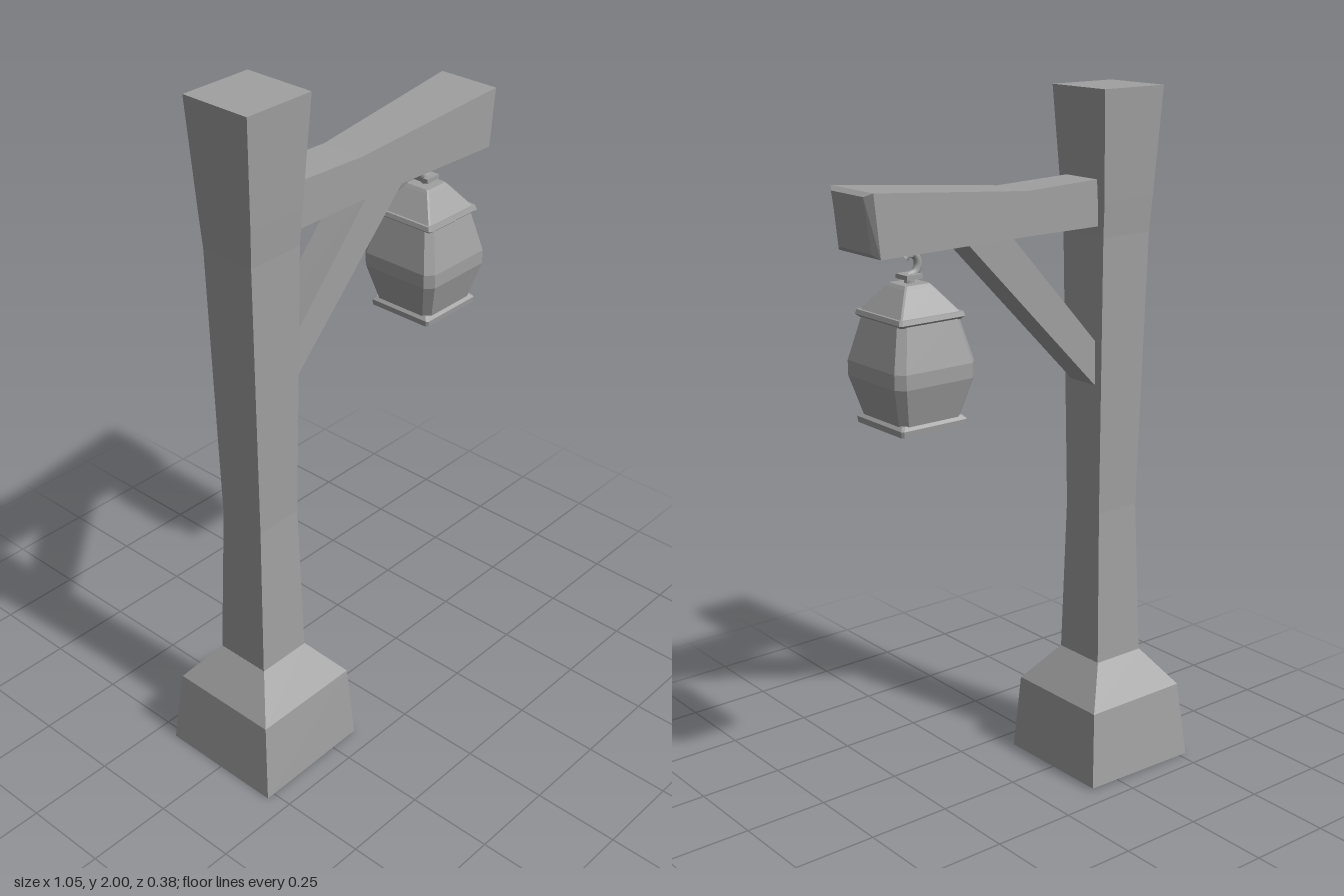
import * as THREE from 'three';

const grey = new THREE.MeshStandardMaterial({ color: 0xa0a0a0 });
grey.name = 'grey';

// Skin a stack of matching point loops and cap both ends (faceted).
function loft(loops) {
  const pos = [];
  const tri = (...pts) => pts.forEach((p) => pos.push(...p));
  const n = loops[0].length;
  for (let k = 0; k < loops.length - 1; k++) {
    const lo = loops[k], up = loops[k + 1];
    for (let i = 0; i < n; i++) {
      const j = (i + 1) % n;
      tri(lo[i], lo[j], up[j]);
      tri(lo[i], up[j], up[i]);
    }
  }
  const first = loops[0], last = loops[loops.length - 1];
  for (let i = 1; i < n - 1; i++) {
    tri(first[0], first[i + 1], first[i]);
    tri(last[0], last[i], last[i + 1]);
  }
  const g = new THREE.BufferGeometry();
  g.setAttribute('position', new THREE.Float32BufferAttribute(pos, 3));
  g.computeVertexNormals();
  return g;
}

// Horizontal rectangle at height y
const rect = (y, x0, x1, z) => [[x1, y, z], [x1, y, -z], [x0, y, -z], [x0, y, z]];

// Horizontal square of half width h with corners cut by c
const cutSquare = (y, h, c) => [
  [h, y, h - c], [h, y, c - h], [h - c, y, -h], [c - h, y, -h],
  [-h, y, c - h], [-h, y, h - c], [c - h, y, h], [h - c, y, h],
];

// Upright rectangle across the beam, with its own x at bottom and top
const slice = (xb, xt, y0, y1, z) => [[xb, y0, -z], [xt, y1, -z], [xt, y1, z], [xb, y0, z]];

function add(parent, name, geometry) {
  const mesh = new THREE.Mesh(geometry, grey);
  mesh.name = name;
  parent.add(mesh);
  return mesh;
}

export function createModel() {
  const model = new THREE.Group();
  model.name = 'lampPost';

  // Flared foot with a slightly uneven bottom
  add(model, 'base', loft([
    [[-0.155, 0, 0.185], [-0.145, 0.01, -0.192], [-0.525, 0, -0.19], [-0.525, 0, 0.19]],
    rect(0.23, -0.503, -0.168, 0.167),
    rect(0.34, -0.421, -0.255, 0.084),
  ]));

  // Post, waisted in the middle and wider at the top
  add(model, 'post', loft([
    rect(0.33, -0.421, -0.255, 0.083),
    rect(0.8, -0.404, -0.262, 0.07),
    rect(1.6, -0.42, -0.25, 0.083),
    rect(1.7, -0.425, -0.246, 0.09),
    rect(2, -0.441, -0.226, 0.106),
  ]));

  // Arm with a chamfered outer end
  add(model, 'beam', loft([
    slice(-0.3, -0.3, 1.63, 1.76, 0.062),
    slice(0, 0, 1.63, 1.75, 0.065),
    slice(0.49, 0.508, 1.63, 1.795, 0.093),
    slice(0.502, 0.523, 1.642, 1.785, 0.07),
  ]));

  // Diagonal brace
  const brace = new THREE.Shape([
    new THREE.Vector2(-0.27, 1.165), new THREE.Vector2(0.2, 1.64),
    new THREE.Vector2(0.05, 1.64), new THREE.Vector2(-0.27, 1.29),
  ]);
  add(model, 'brace', new THREE.ExtrudeGeometry(brace, { depth: 0.1, bevelEnabled: false }))
    .position.z = -0.05;

  // Hanging lantern
  const lantern = new THREE.Group();
  lantern.name = 'lantern';
  lantern.position.set(0.345, 0, -0.007);
  model.add(lantern);

  add(lantern, 'lanternFoot', loft([
    cutSquare(1.17, 0.103, 0.006), cutSquare(1.187, 0.105, 0.006), cutSquare(1.197, 0.095, 0.006),
  ]));
  add(lantern, 'lanternBody', loft([
    cutSquare(1.19, 0.096, 0.018), cutSquare(1.3, 0.126, 0.022),
    cutSquare(1.34, 0.126, 0.022), cutSquare(1.46, 0.096, 0.018),
  ]));
  add(lantern, 'lanternRim', loft([
    cutSquare(1.452, 0.095, 0.006), cutSquare(1.46, 0.104, 0.006), cutSquare(1.472, 0.1, 0.006),
  ]));
  add(lantern, 'lanternRoof', loft([
    cutSquare(1.47, 0.094, 0.004), cutSquare(1.535, 0.045, 0.004), cutSquare(1.543, 0.038, 0.004),
  ]));
  add(lantern, 'hookSeat', new THREE.BoxGeometry(0.05, 0.012, 0.05)).position.y = 1.56;
  add(lantern, 'hookPeg', new THREE.CylinderGeometry(0.012, 0.014, 0.03, 8)).position.y = 1.55;

  // Open hook between beam and lantern
  const path = new THREE.CatmullRomCurve3([
    [0.005, 1.56], [-0.018, 1.568], [-0.028, 1.59], [-0.018, 1.612], [0, 1.618], [0.016, 1.606],
  ].map(([x, y]) => new THREE.Vector3(x, y, 0)));
  add(lantern, 'hook', new THREE.TubeGeometry(path, 14, 0.011, 8)).material = grey;
  add(lantern, 'hookMount', new THREE.CylinderGeometry(0.012, 0.012, 0.03, 8)).position.y = 1.625;

  return model;
}
